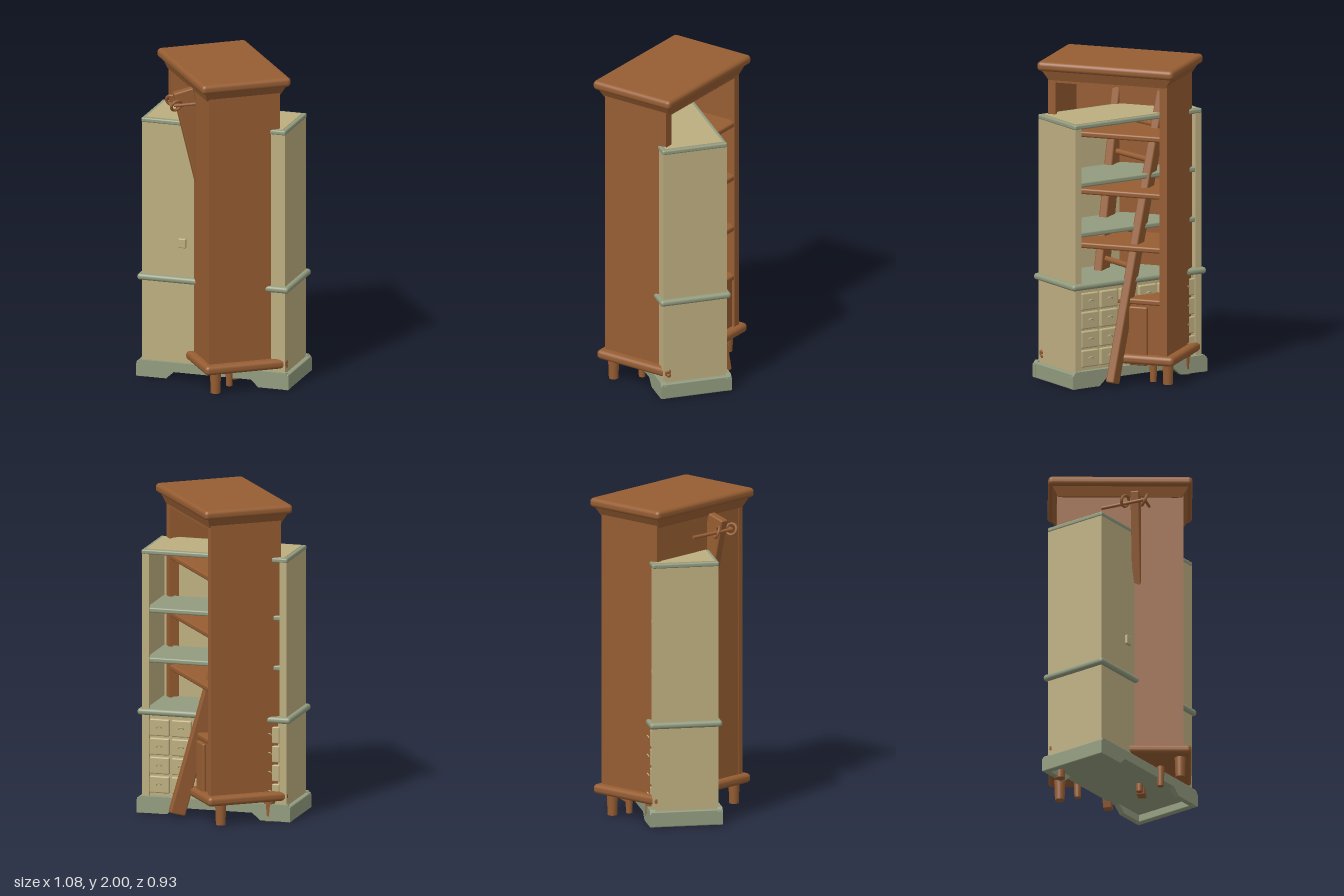
import * as THREE from 'three';
import { RoundedBoxGeometry } from 'three/addons/geometries/RoundedBoxGeometry.js';

const mat = (name, color) => {
  const m = new THREE.MeshStandardMaterial({ color });
  m.name = name;
  return m;
};

export function createModel() {
  const wood = mat('brown wood', 0x965d32);
  const cream = mat('cream paint', 0xbdae80);
  const green = mat('sage green trim', 0x929b7e);

  const root = new THREE.Group();
  root.name = 'crossedCabinets';

  const add = (parent, name, geo, m, x = 0, y = 0, z = 0) => {
    const mesh = new THREE.Mesh(geo, m);
    mesh.name = name;
    mesh.position.set(x, y, z);
    parent.add(mesh);
    return mesh;
  };
  // Box given by its centre in x and z and its bottom and top heights
  const box = (parent, name, m, w, d, y0, y1, x = 0, z = 0, r = 0) => {
    const h = y1 - y0;
    const geo = r ? new RoundedBoxGeometry(w, h, d, 3, r) : new THREE.BoxGeometry(w, h, d);
    return add(parent, name, geo, m, x, (y0 + y1) / 2, z);
  };
  // Square-section or round bar between two points
  const bar = (parent, name, m, a, b, w, d) => {
    const A = new THREE.Vector3(...a), B = new THREE.Vector3(...b);
    const len = A.distanceTo(B);
    const geo = d ? new RoundedBoxGeometry(w, len, d, 2, 0.01) : new THREE.CylinderGeometry(w, w, len, 12);
    const mesh = add(parent, name, geo, m);
    mesh.position.copy(A).add(B).multiplyScalar(0.5);
    mesh.quaternion.setFromUnitVectors(new THREE.Vector3(0, 1, 0), B.sub(A).normalize());
    return mesh;
  };

  // ---- Tall brown bookcase, open towards +x ----
  const bookcase = new THREE.Group();
  bookcase.name = 'brownBookcase';
  bookcase.rotation.y = 0.09;
  root.add(bookcase);

  box(bookcase, 'topSlab', wood, 0.58, 0.89, 1.94, 2.0, 0, 0, 0.025);
  // Flared cornice below the slab
  const cove = new THREE.CylinderGeometry(Math.SQRT1_2, Math.SQRT1_2 * 0.9, 0.07, 4);
  cove.rotateY(Math.PI / 4);
  const corniceMesh = add(bookcase, 'cornice', cove.toNonIndexed(), wood, 0, 1.915, 0);
  corniceMesh.geometry.computeVertexNormals();
  corniceMesh.scale.set(0.53, 1, 0.85);

  box(bookcase, 'backPanel', wood, 0.02, 0.78, 0.15, 1.9, -0.215);
  for (const s of [-1, 1]) {
    box(bookcase, 'sidePanel', wood, 0.46, 0.035, 0.15, 1.9, 0, s * 0.373);
    box(bookcase, 'frontStile', wood, 0.025, 0.05, 0.15, 1.9, 0.22, s * 0.365);
  }
  box(bookcase, 'topRail', wood, 0.025, 0.78, 1.865, 1.9, 0.22);
  box(bookcase, 'ceiling', wood, 0.45, 0.76, 1.885, 1.9);
  for (const y of [0.52, 0.85, 1.19, 1.55]) {
    box(bookcase, 'shelf', wood, 0.43, 0.74, y - 0.018, y + 0.018, 0.015, 0, 0.012);
  }
  box(bookcase, 'lowerFront', wood, 0.02, 0.3, 0.18, 0.52, 0.205, -0.23);
  box(bookcase, 'lowerDoor', wood, 0.025, 0.12, 0.12, 0.49, 0.225, -0.2, 0.01);
  box(bookcase, 'baseMoulding', wood, 0.53, 0.88, 0.13, 0.19, 0, 0, 0.025);

  // Turned feet
  for (const [x, z, r] of [[-0.18, 0.37, 0.035], [0.16, -0.37, 0.035], [-0.16, -0.37, 0.035],
    [-0.05, 0.25, 0.024], [0.03, 0.12, 0.024], [0.12, -0.26, 0.024]]) {
    add(bookcase, 'foot', new THREE.CylinderGeometry(r, r * 0.85, 0.14, 14), wood, x, 0.07, z);
  }
  for (const y of [0.145, 0.17]) {
    add(bookcase, 'cornerKnob', new THREE.SphereGeometry(0.018, 12, 8), wood, 0.26, y, 0.41);
  }

  // ---- Leaning ladder passing through the bookcase ----
  const ladder = new THREE.Group();
  ladder.name = 'ladder';
  root.add(ladder);
  const railA = [[0.33, 0.02, -0.1], [-0.16, 1.87, -0.24]];
  const railB = [[0.16, 0.02, 0.12], [-0.29, 1.88, 0.12]];
  bar(ladder, 'rightRail', wood, ...railA, 0.1, 0.055);
  bar(ladder, 'leftRail', wood, ...railB, 0.13, 0.055);
  const along = (r, y) => {
    const t = y / 1.9;
    return r[0].map((v, i) => v + (r[1][i] - v) * t);
  };
  for (const y of [0.28, 0.5, 0.72, 0.94, 1.16, 1.38, 1.6]) {
    bar(ladder, 'rung', wood, along(railA, y), along(railB, y), 0.018);
  }

  // Hook, rod and rings at the ladder head
  const hook = new THREE.Group();
  hook.name = 'ladderHook';
  root.add(hook);
  bar(hook, 'hookRod', wood, [-0.29, 1.78, -0.09], [-0.35, 1.8, 0.17], 0.011);
  add(hook, 'hookKnob', new THREE.SphereGeometry(0.04, 16, 12), wood, -0.13, 1.8, -0.27);
  for (const [x, z, ry] of [[-0.345, 0.18, 0.3], [-0.345, 0.06, -0.5]]) {
    const ring = add(hook, 'hookRing', new THREE.TorusGeometry(0.035, 0.009, 8, 20), wood, x, 1.8, z);
    ring.rotation.set(0.4, ry, 0);
  }
  bar(hook, 'hookArm', wood, [-0.36, 1.8, 0.18], [-0.23, 1.81, 0.2], 0.009);

  // ---- Wide cream dresser, open towards local -z ----
  const dresser = new THREE.Group();
  dresser.name = 'creamDresser';
  dresser.rotation.y = -0.56;
  root.add(dresser);
  const W = 0.93, D = 0.41;

  box(dresser, 'backPanel', cream, W, 0.02, 0.08, 1.655, 0, D / 2 - 0.01);
  for (const s of [-1, 1]) {
    box(dresser, 'endPanel', cream, 0.025, D, 0.08, 1.655, s * (W / 2 - 0.0125), 0);
    box(dresser, 'stile', cream, 0.045, 0.02, 0.1, 1.64, s * (W / 2 - 0.0225), -D / 2 + 0.008);
  }
  box(dresser, 'topPanel', cream, W - 0.04, D - 0.04, 1.63, 1.664);
  // Green edging framing the top
  for (const s of [-1, 1]) {
    box(dresser, 'topEdgeLong', green, W + 0.01, 0.03, 1.632, 1.662, 0, s * (D / 2 - 0.011), 0.01);
    box(dresser, 'topEdgeShort', green, 0.03, D + 0.01, 1.632, 1.662, s * (W / 2 - 0.011), 0, 0.01);
  }
  for (const y of [0.965, 1.28]) {
    box(dresser, 'shelf', green, W - 0.04, D - 0.03, y - 0.016, y + 0.016, 0, -0.012, 0.01);
  }
  box(dresser, 'waistMoulding', green, 0.985, 0.455, 0.62, 0.66, 0, 0, 0.018);

  // Lower carcass with a grid of drawers
  box(dresser, 'lowerCarcass', cream, W - 0.04, D - 0.03, 0.09, 0.63, 0, 0.005);
  const cols = 6, rows = 4, dw = (W - 0.08) / cols, dh = 0.12;
  for (let c = 0; c < cols; c++) {
    for (let r = 0; r < rows; r++) {
      const x = (c - (cols - 1) / 2) * dw, y = 0.13 + r * dh;
      box(dresser, 'drawer', cream, dw - 0.014, 0.03, y, y + dh - 0.014, x, -D / 2 + 0.012, 0.008);
      const pull = add(dresser, 'drawerPull', new THREE.TorusGeometry(0.016, 0.004, 6, 10, Math.PI),
        cream, x, y + 0.052, -D / 2 - 0.006);
      pull.rotation.x = -0.6;
    }
  }
  box(dresser, 'backLatch', cream, 0.05, 0.02, 0.85, 0.91, -0.2, D / 2 + 0.008, 0.006);

  // Bracket-footed plinth
  const hw = 0.495, hd = 0.228;
  const apron = new THREE.Shape([[-hw, 0.005], [-0.3, 0.005], [-0.25, 0.05], [0.25, 0.05], [0.3, 0.005],
    [hw, 0.005], [hw, 0.085], [hw - 0.02, 0.11], [-hw + 0.02, 0.11], [-hw, 0.085]]
    .map(p => new THREE.Vector2(...p)));
  const apronGeo = new THREE.ExtrudeGeometry(apron, { depth: 0.035, bevelEnabled: false });
  add(dresser, 'plinthBack', apronGeo, green, 0, 0, hd - 0.035);
  add(dresser, 'plinthFront', apronGeo, green, 0, 0, -hd);
  for (const s of [-1, 1]) {
    box(dresser, 'plinthEnd', green, 0.04, 2 * hd - 0.002, 0.001, 0.1, s * (hw - 0.021), 0, 0.008);
  }
  box(dresser, 'plinthFloor', green, 2 * hw - 0.06, 2 * hd - 0.04, 0.05, 0.1);

  return root;
}
